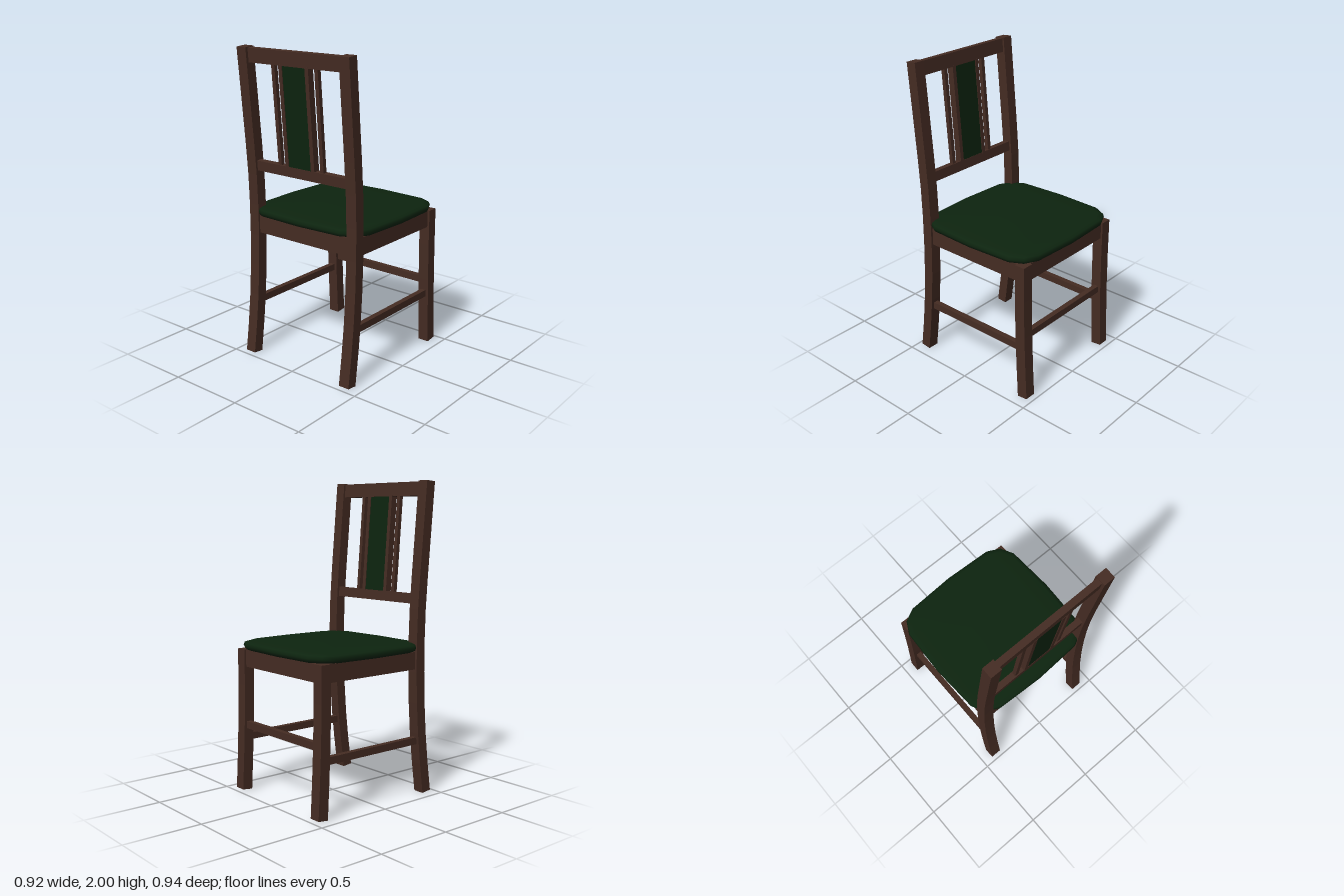
import * as THREE from 'three';
import { mergeVertices } from 'three/addons/utils/BufferGeometryUtils.js';

const wood = new THREE.MeshStandardMaterial({ color: 0x452c23 });
wood.name = 'darkWood';
const fabric = new THREE.MeshStandardMaterial({ color: 0x0d240f });
fabric.name = 'greenFabric';

export function createModel() {
  const chair = new THREE.Group();
  chair.name = 'chair';

  function add(name, geometry, material = wood) {
    const mesh = new THREE.Mesh(geometry, material);
    mesh.name = name;
    chair.add(mesh);
    return mesh;
  }
  function bar(name, [w, h, d], [x, y, z], tilt = 0, material = wood) {
    const mesh = add(name, new THREE.BoxGeometry(w, h, d), material);
    mesh.position.set(x, y, z);
    mesh.rotation.x = tilt;
    return mesh;
  }
  // Bent leg: [z, y] centre line given a depth in z, extruded across x
  function leg(name, line, depth, endSlope, side) {
    const last = line.length - 1;
    const edge = (s) => line.map(([z, y], i) => {
      const lift = i === 0 && s * endSlope[0] > 0 ? 0.008 : 0;
      const drop = i === last && s * endSlope[1] > 0 ? 0.006 : 0;
      return new THREE.Vector2(-(z + s * depth / 2), y + lift - drop);
    });
    const shape = new THREE.Shape([...edge(1), ...edge(-1).reverse()]);
    const geometry = new THREE.ExtrudeGeometry(shape, { depth: 0.074, bevelEnabled: false });
    geometry.translate(0, 0, -0.037).rotateY(Math.PI / 2);
    add(name, geometry).position.x = side * 0.392;
  }

  // Legs; the long ones rise into the backrest posts at +z
  const postLine = [[0.435, 0], [0.408, 0.2], [0.386, 0.4], [0.372, 0.6], [0.365, 0.8], [0.364, 1],
    [0.37, 1.2], [0.384, 1.4], [0.401, 1.6], [0.418, 1.8], [0.435, 2]];
  const shortLine = [[-0.432, 0], [-0.421, 0.22], [-0.412, 0.45], [-0.407, 0.7], [-0.406, 0.932]];
  for (const side of [-1, 1]) {
    const label = side > 0 ? 'left' : 'right';
    leg(label + 'BackPost', postLine, 0.069, [1, 1], side);
    leg(label + 'SeatLeg', shortLine, 0.071, [-1, 0], side);
    bar(label + 'SideApron', [0.045, 0.112, 0.74], [side * 0.392, 0.876, -0.02]);
    bar(label + 'SideStretcher', [0.035, 0.046, 0.79], [side * 0.392, 0.352, -0.015]);
  }

  // Cross rails
  bar('backApron', [0.72, 0.112, 0.045], [0, 0.876, 0.365]);
  bar('seatEdgeApron', [0.72, 0.112, 0.045], [0, 0.876, -0.407]);
  bar('crossStretcher', [0.72, 0.046, 0.035], [0, 0.437, -0.412]);

  // Backrest, leaning with the posts
  const lean = Math.atan2(0.052, 0.67);
  const leanZ = (y) => 0.375 + (y - 1.262) * Math.tan(lean);
  bar('lowerBackRail', [0.72, 0.064, 0.04], [0, 1.262, leanZ(1.262)], lean);
  bar('topBackRail', [0.72, 0.088, 0.04], [0, 1.949, leanZ(1.949)], lean);
  const slatY = 1.6;
  for (const side of [-1, 1]) {
    bar('outerSlat', [0.026, 0.63, 0.026], [side * 0.166, slatY, leanZ(slatY)], lean);
    bar('innerSlat', [0.027, 0.63, 0.044], [side * 0.101, slatY, leanZ(slatY)], lean);
  }
  bar('backPanel', [0.176, 0.63, 0.036], [0, slatY, leanZ(slatY)], lean, fabric);

  // Cushion: a lathe whose sixteen spokes are stretched to a soft square
  const quarter = [[0, 0.453], [0.315, 0.438], [0.4, 0.395], [0.445, 0.31], [0.46, 0]];
  const spokes = [];
  for (let i = 0; i < 16; i++) {
    const q = Math.floor(i / 4), k = i % 4;
    const [x, z] = quarter[q % 2 ? 4 - k : k];
    spokes.push([q < 2 ? x : -x, q === 0 || q === 3 ? z : -z]);
  }
  const profile = [[0, 0.93], [0.93, 0.93], [0.985, 0.94], [1, 0.96], [0.985, 0.978], [0.93, 0.987],
    [0.6, 0.996], [0.25, 1], [0, 1.001]].map(([r, y]) => new THREE.Vector2(r, y));
  let cushion = new THREE.LatheGeometry(profile, 16);
  const pos = cushion.attributes.position;
  for (let i = 0; i < pos.count; i++) {
    const [x, z] = spokes[Math.floor(i / profile.length) % 16];
    const { x: r, y } = profile[i % profile.length];
    pos.setXYZ(i, x * r, y, z * r - 0.022);
  }
  cushion.deleteAttribute('normal');
  cushion.deleteAttribute('uv');
  cushion = mergeVertices(cushion);
  cushion.computeVertexNormals();
  add('seatCushion', cushion, fabric);

  return chair;
}
